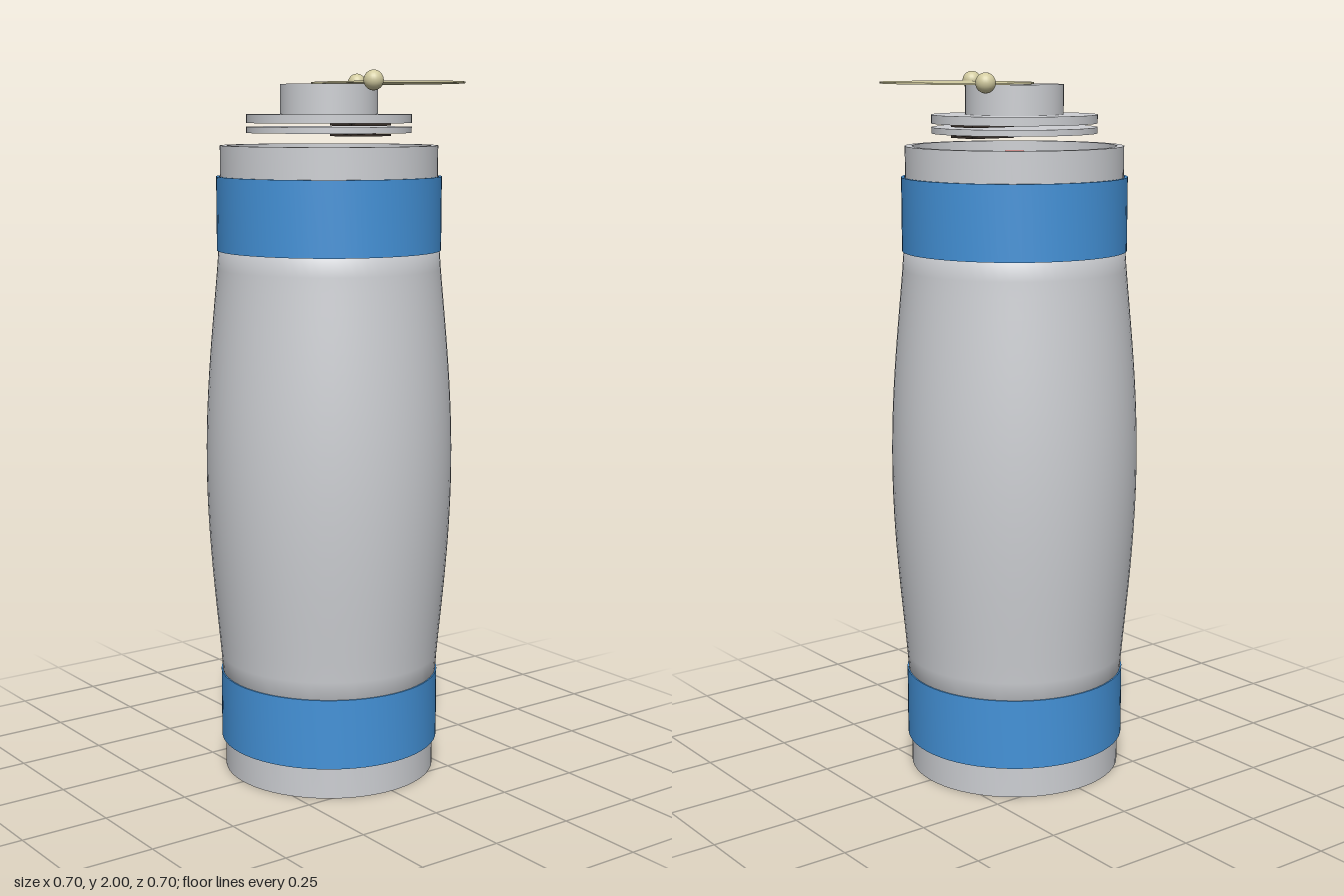
import * as THREE from 'three';
import { toCreasedNormals } from 'three/addons/utils/BufferGeometryUtils.js';

const mat = (name, color, side = THREE.FrontSide) => {
  const m = new THREE.MeshStandardMaterial({ color, side });
  m.name = name;
  return m;
};

export function createModel() {
  const group = new THREE.Group();
  const steel = mat('steel grey', 0xcdcfd3);
  const blue = mat('band blue', 0x4492d8);
  const red = mat('seal red', 0xcc4640, THREE.DoubleSide);
  const cream = mat('cream', 0xd2cba0, THREE.DoubleSide);
  const dark = mat('dark brown', 0x3a302a, THREE.DoubleSide);

  const add = (name, geometry, material, x = 0, y = 0, z = 0) => {
    const mesh = new THREE.Mesh(geometry, material);
    mesh.name = name;
    mesh.position.set(x, y, z);
    group.add(mesh);
    return mesh;
  };
  const lathe = (pts) => toCreasedNormals(
    new THREE.LatheGeometry(pts.map(([r, y]) => new THREE.Vector2(r, y)), 64), 0.6);
  const disc = (name, r, y0, y1) =>
    add(name, new THREE.CylinderGeometry(r, r, y1 - y0, 64), steel, 0, (y0 + y1) / 2);
  const flatRing = (name, r0, r1, y, material, start = 0, sweep = Math.PI * 2) =>
    add(name, new THREE.RingGeometry(r0, r1, 64, 1, start, sweep).rotateX(-Math.PI / 2), material, 0, y);

  // Barrel with bulging sides, raised rim and recessed top
  const sides = [[0.304, 0], [0.304, 0.28]];
  for (let i = 0; i <= 24; i++) {
    const t = i / 24;
    sides.push([0.311 + 0.04 * Math.pow(Math.sin(Math.PI * t), 1.15), 0.29 + 1.22 * t]);
  }
  sides.push([0.304, 1.52], [0.304, 1.8]);
  add('barrel', lathe([[0, 0], ...sides, [0.284, 1.8], [0.284, 1.76], [0, 1.76]]), steel);

  // Two sleeves around the barrel
  for (const [name, y0, y1] of [['lowerBand', 0.09, 0.29], ['upperBand', 1.51, 1.715]]) {
    add(name, lathe([[0.305, y0], [0.315, y0], [0.315, y1], [0.307, y1], [0.305, y0]]), blue);
  }

  // Seal and retaining clip in the recess
  flatRing('seal', 0.2, 0.26, 1.772, red);
  flatRing('retainingClip', 0.271, 0.279, 1.77, dark);
  flatRing('clipEnd', 0.264, 0.281, 1.774, dark, Math.PI + 0.22, 0.46);
  flatRing('clipEnd', 0.264, 0.281, 1.774, dark, 2.07, 0.25);

  // Raised stepped cap
  disc('lowerFlange', 0.23, 1.834, 1.851);
  disc('upperFlange', 0.23, 1.861, 1.885);
  disc('plunger', 0.136, 1.885, 1.967);
  for (const y of [1.827, 1.856]) {
    add('capPin', new THREE.BoxGeometry(0.1, 0.006, 0.14), dark, 0, y, -0.11);
  }

  // Offset oval plate with two beads
  const plate = add('ovalPlate', new THREE.CylinderGeometry(1, 1, 0.005, 24), cream, 0.083, 1.971, -0.139);
  plate.scale.set(0.247, 1, 0.192);
  for (const [x, z] of [[-0.167, -0.222], [0.274, 0.054]]) {
    add('bead', new THREE.SphereGeometry(0.027, 24, 16), cream, x, 1.974, z);
  }
  return group;
}
